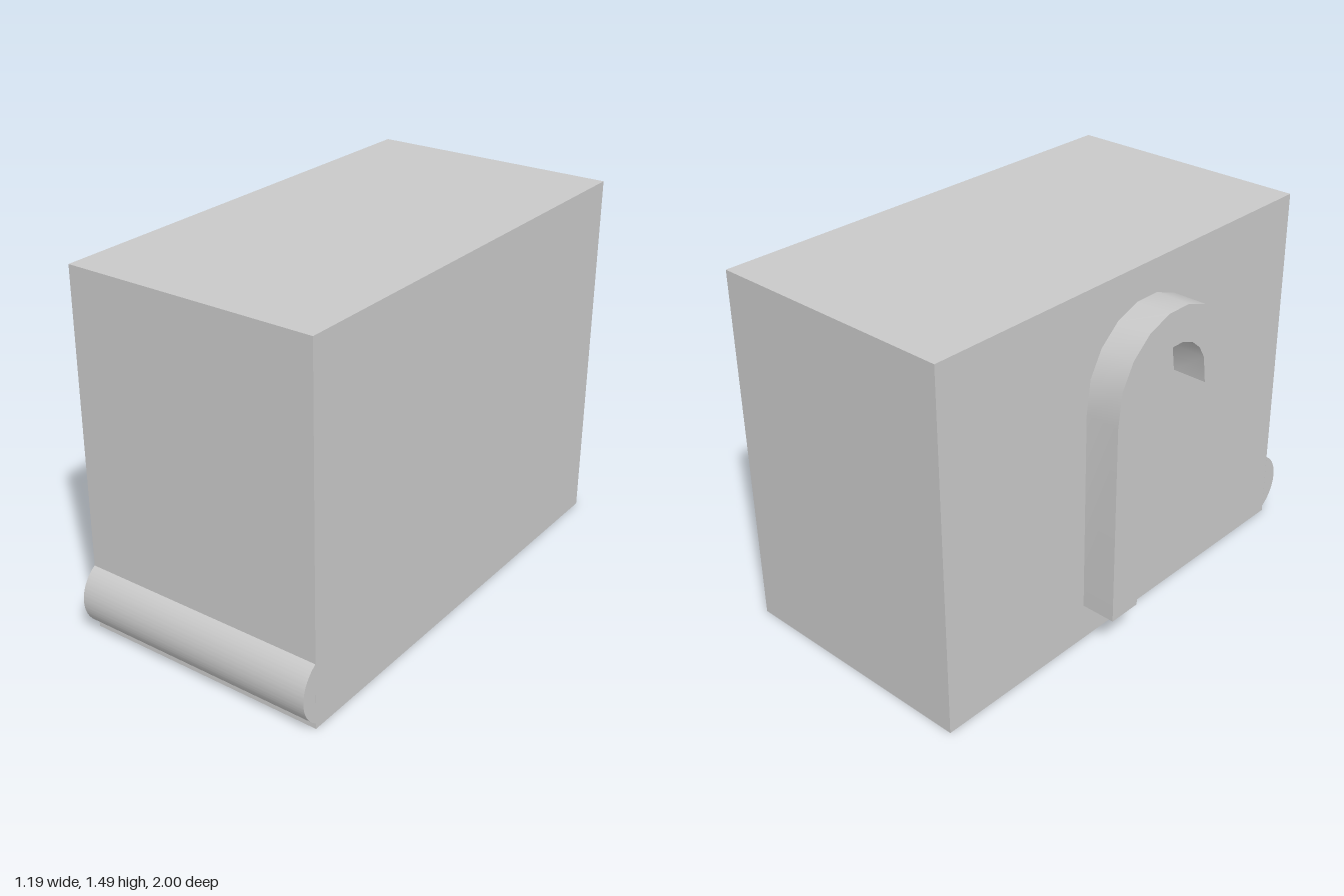
import * as THREE from 'three';
import { toCreasedNormals } from 'three/addons/utils/BufferGeometryUtils.js';

const grey = new THREE.MeshStandardMaterial({ color: 0xc8c8c8 });
grey.name = 'light grey';

// Extrudes a side profile drawn in (z, y) from x0 to x1, with smooth curved walls
function sideExtrude(name, shape, x0, x1) {
  const geo = new THREE.ExtrudeGeometry(shape, { depth: x1 - x0, bevelEnabled: false, curveSegments: 24 });
  // turn the profile's first axis to +z and the depth to -x
  geo.rotateY(-Math.PI / 2);
  geo.translate(x1, 0, 0);
  const mesh = new THREE.Mesh(toCreasedNormals(geo, 0.7), grey);
  mesh.name = name;
  return mesh;
}

// Offsets a centre line to both sides to give a hooked bar of even width
function barShape(points, half) {
  const left = [], right = [];
  points.forEach(([z, y], i) => {
    const a = points[Math.max(i - 1, 0)], b = points[Math.min(i + 1, points.length - 1)];
    const t = new THREE.Vector2(b[0] - a[0], b[1] - a[1]).normalize();
    if (i === 1) t.set(0, 1); // the leg stays straight up to the bend
    left.push(new THREE.Vector2(z - t.y * half, y + t.x * half));
    right.unshift(new THREE.Vector2(z + t.y * half, y - t.x * half));
  });
  return new THREE.Shape([...left, ...right]);
}

export function createModel() {
  const model = new THREE.Group();
  model.name = 'boxWithHook';

  // main body
  const body = new THREE.Mesh(new THREE.BoxGeometry(1.045, 1.487, 1.93), grey);
  body.name = 'body';
  body.position.set(0.0725, 0.7435, -0.035);
  model.add(body);

  // rounded bar along the lower front edge
  const radius = 0.147, half = Math.asin(0.125 / radius);
  const segment = new THREE.Shape();
  segment.absarc(0.853, 0.15, radius, -half, half, false);
  segment.closePath();
  model.add(sideExtrude('frontRoll', segment, -0.45, 0.595));

  // hooked handle on the right side
  const line = [[-0.207, 0.157], [-0.207, 1.0]];
  for (let i = 1; i < 9; i++) {
    const a = Math.PI * (1 - i / 9);
    line.push([0.043 + 0.25 * Math.cos(a), 1.03 + 0.253 * Math.sin(a)]);
  }
  line.push([0.296, 0.995]);
  model.add(sideExtrude('sideHook', barShape(line, 0.072), -0.595, -0.45));

  return model;
}
